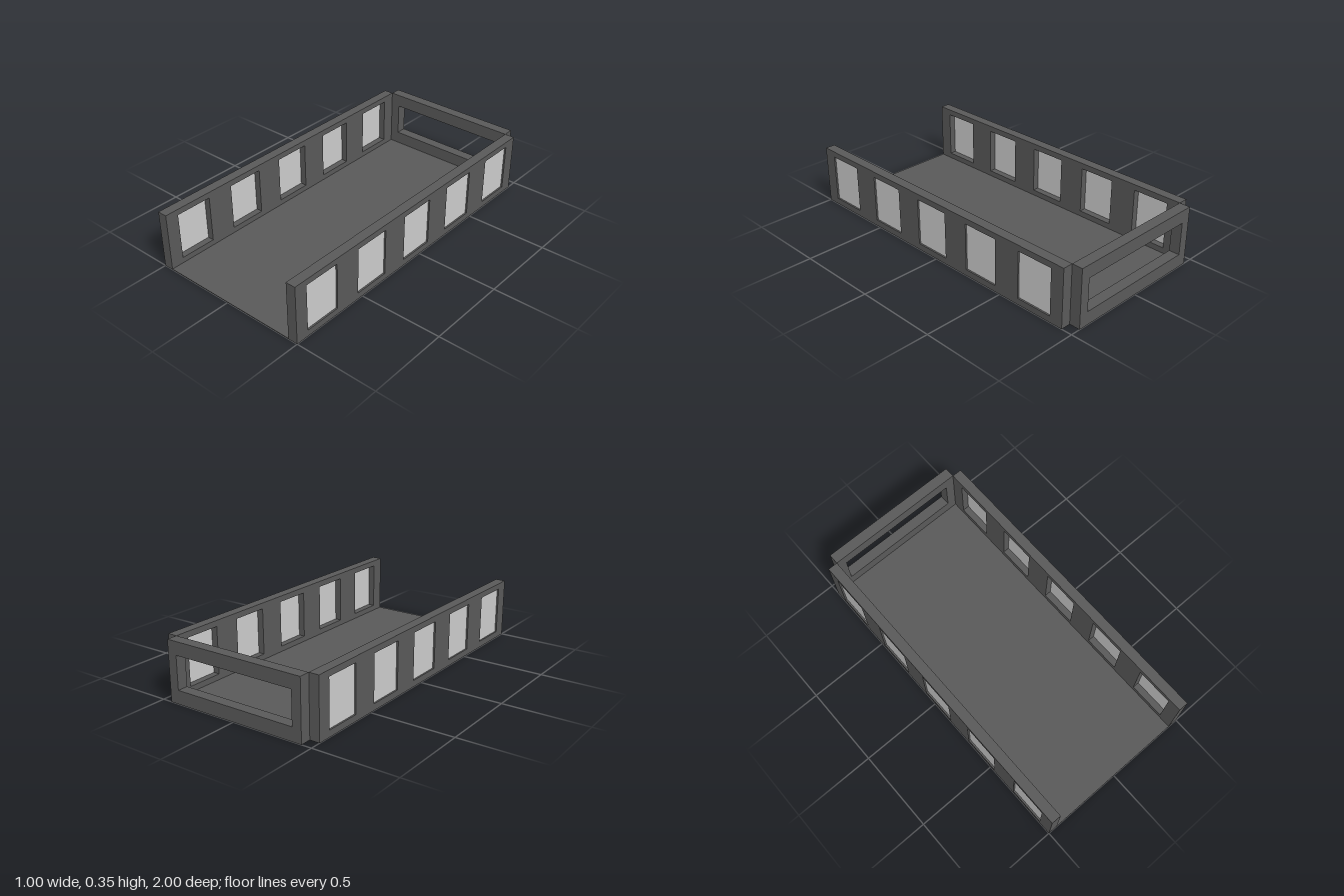
import * as THREE from 'three';

const H = 0.355, T = 0.06, HALF_W = 0.5, BACK = -0.935;

// Rectangle with rectangular holes, each given as [x0, y0, x1, y1]
function rect(path, [x0, y0, x1, y1]) {
  path.moveTo(x0, y0);
  path.lineTo(x1, y0);
  path.lineTo(x1, y1);
  path.lineTo(x0, y1);
  path.closePath();
  return path;
}
function panel(outline, holes, depth) {
  const shape = rect(new THREE.Shape(), outline);
  for (const h of holes) shape.holes.push(rect(new THREE.Path(), h));
  return new THREE.ExtrudeGeometry(shape, { depth, bevelEnabled: false });
}

export function createModel() {
  const group = new THREE.Group();
  const dark = new THREE.MeshStandardMaterial({ color: 0x595959, flatShading: true });
  const pale = new THREE.MeshStandardMaterial({ color: 0xcccccc, flatShading: true });
  const add = (name, geometry, material, x = 0, y = 0, z = 0) => {
    const mesh = new THREE.Mesh(geometry, material);
    mesh.name = name;
    mesh.position.set(x, y, z);
    group.add(mesh);
    return mesh;
  };

  // Thin floor between the side walls
  const floorT = 0.004;
  add('floor', new THREE.BoxGeometry(2 * (HALF_W - T), floorT, 1 - BACK), dark, 0, floorT / 2, (1 + BACK) / 2);

  // Side walls with five windows, drawn along -z and extruded in +x
  const winW = 0.224, winY0 = 0.038, winY1 = 0.32;
  const centres = [0, 1, 2, 3, 4].map((i) => 0.808 - i * 0.3875);
  const holes = centres.map((z) => [-z - winW / 2, winY0, -z + winW / 2, winY1]);
  const wall = panel([-1, 0, -BACK, H], holes, T).rotateY(Math.PI / 2);
  const pane = new THREE.BoxGeometry(0.01, winY1 - winY0, winW);
  for (const [side, s] of [['left', 1], ['right', -1]]) {
    add(side + 'Wall', wall, dark, s > 0 ? HALF_W - T : -HALF_W);
    // Panes sit close to the outer face
    centres.forEach((z, i) =>
      add(side + 'WindowPane' + (i + 1), pane, pale, s * (HALF_W - 0.015), (winY0 + winY1) / 2, z));
  }

  // Back wall with one wide open window
  const backHalf = HALF_W - T;
  add('backWall', panel([-backHalf, 0, backHalf, H], [[-0.383, 0.08, 0.383, 0.277]], 1 + BACK), dark, 0, 0, -1);

  return group;
}
